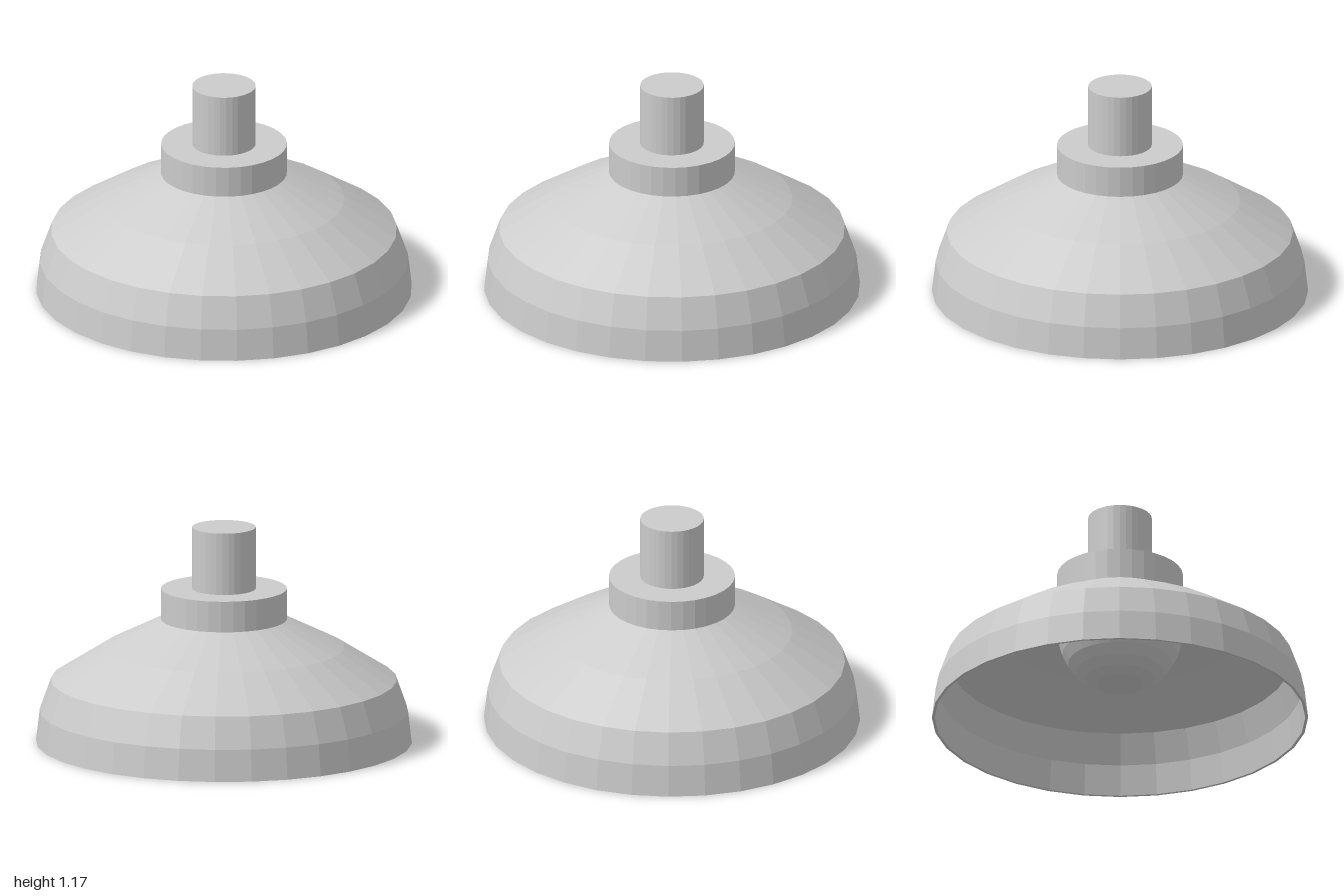
import * as THREE from 'three';

const SIDES = 32;

export function createModel() {
  const group = new THREE.Group();
  const material = new THREE.MeshStandardMaterial({ color: 0xcccccc, flatShading: true });

  const add = (name, geometry, y = 0) => {
    const mesh = new THREE.Mesh(geometry, material);
    mesh.name = name;
    mesh.position.y = y;
    group.add(mesh);
  };

  // Thin shade: up the outside, over the top edge, back down the inside
  const profile = [
    [1, 0], [0.98, 0.17], [0.92, 0.338], [0.64, 0.515], [0.333, 0.668],
    [0.325, 0.655], [0.63, 0.5], [0.907, 0.328], [0.965, 0.168], [0.985, 0], [1, 0],
  ].map(([r, y]) => new THREE.Vector2(r, y));
  add('shade', new THREE.LatheGeometry(profile, SIDES));

  // Collar and stem stacked on the shade
  add('collar', new THREE.CylinderGeometry(0.335, 0.335, 0.167, SIDES), 0.75);
  add('stem', new THREE.CylinderGeometry(0.169, 0.169, 0.335, SIDES), 1.0);

  // Round bulb hanging from the collar
  add('bulb', new THREE.SphereGeometry(0.332, SIDES, 16), 0.5);

  return group;
}
